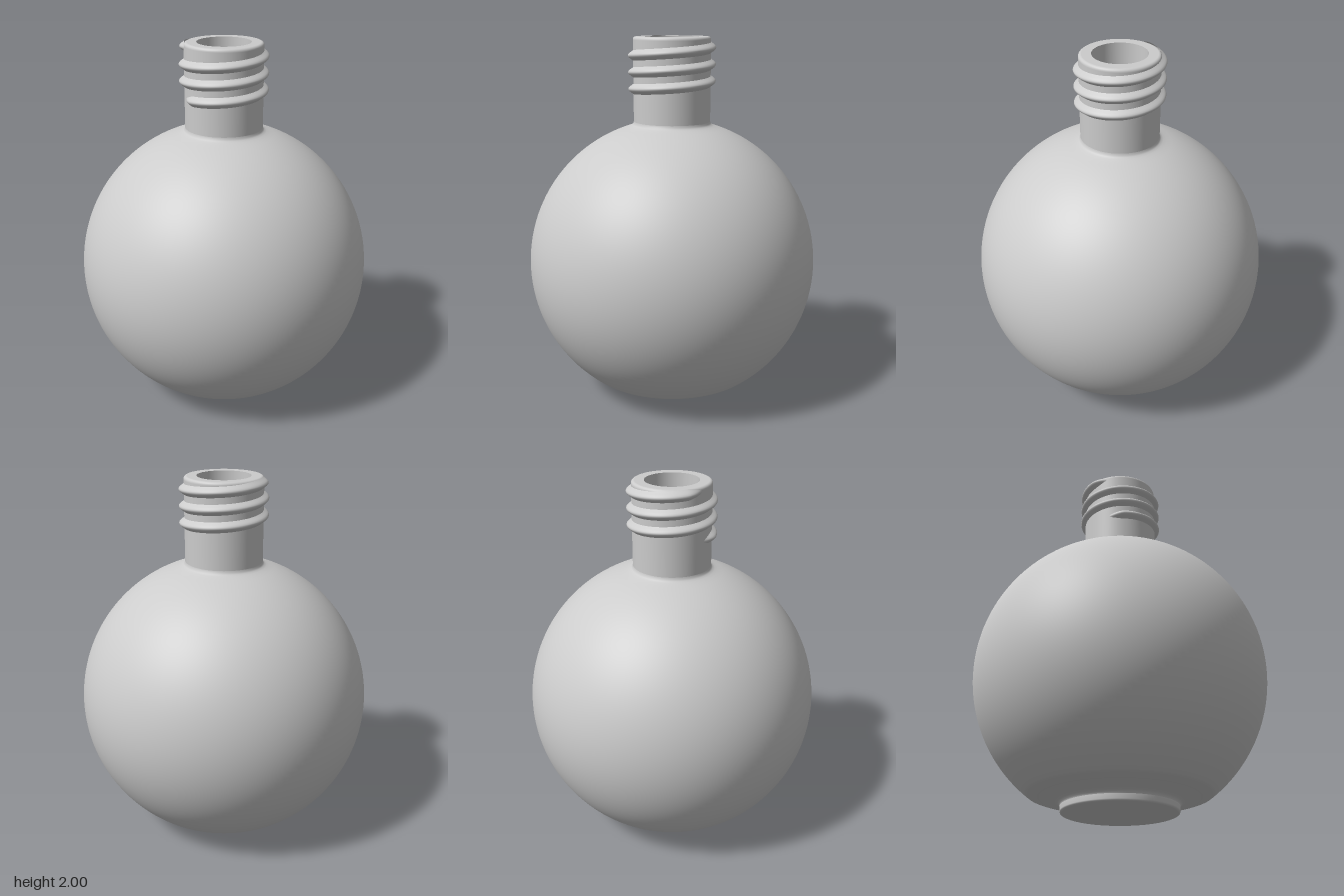
import * as THREE from 'three';

const material = new THREE.MeshStandardMaterial({ color: 0xcccccc, side: THREE.DoubleSide });
const SEGMENTS = 128;
const NECK_R = 0.212;

// Points on a circle of the profile plane, from one polar angle to another
function arc(cx, cy, r, from, to, steps) {
  return Array.from({ length: steps + 1 }, (_, i) => {
    const a = from + (to - from) * i / steps;
    return [cx + r * Math.cos(a), cy + r * Math.sin(a)];
  });
}

// Turned part; separate profiles meet in a sharp edge
function turned(name, profile) {
  const points = profile.map(([x, y]) => new THREE.Vector2(Math.max(x, 0), y));
  const mesh = new THREE.Mesh(new THREE.LatheGeometry(points, SEGMENTS), material);
  mesh.name = name;
  return mesh;
}

// Screw ridge: a rounded section swept up a helix, fading into the neck at both ends
function threadGeometry() {
  const start = -0.5, end = Math.PI * 6 - 0.45, steps = 320, across = 10, fade = 0.5;
  const pitch = 0.09, baseY = 1.715, halfHeight = 0.03, depth = 0.028;
  const positions = [], indices = [];
  for (let i = 0; i <= steps; i++) {
    const t = start + (end - start) * i / steps;
    const grow = THREE.MathUtils.smoothstep(Math.min(t - start, end - t), 0, fade);
    const y = baseY + pitch * t / (Math.PI * 2);
    for (let j = 0; j <= across; j++) {
      const s = j / across * 2 - 1;
      const bump = Math.pow(Math.cos(s * Math.PI / 2), 1.2);
      const r = NECK_R - 0.002 + (depth + 0.002) * grow * bump;
      positions.push(r * Math.sin(t), y + s * halfHeight * (0.4 + 0.6 * grow), r * Math.cos(t));
    }
  }
  const row = across + 1;
  for (let i = 0; i < steps; i++) {
    for (let j = 0; j < across; j++) {
      const a = i * row + j, b = a + row;
      indices.push(a, b, a + 1, b, b + 1, a + 1);
    }
  }
  const geometry = new THREE.BufferGeometry();
  geometry.setAttribute('position', new THREE.Float32BufferAttribute(positions, 3));
  geometry.setIndex(indices);
  geometry.computeVertexNormals();
  return geometry;
}

export function createModel() {
  const bottle = new THREE.Group();
  bottle.name = 'roundBottle';
  const cy = 0.74, R = 0.81;

  // Foot with a softened rim
  bottle.add(turned('footBase', [[0, 0], [0.305, 0]]));
  bottle.add(turned('footRim', [[0.305, 0], [0.312, 0.003], [0.315, 0.01], [0.315, 0.036]]));

  // Hollow curve above the foot, globe and shoulder fillet
  const globe = arc(0, cy, R, Math.asin((0.105 - cy) / R), Math.acos(0.25 / R), 64);
  bottle.add(turned('body', [
    [0.315, 0.036], [0.318, 0.044], [0.327, 0.052], [0.345, 0.06],
    [0.385, 0.071], [0.43, 0.081], [0.47, 0.09], [0.492, 0.097],
    ...globe,
    [0.232, 1.518], [0.22, 1.524], [0.214, 1.532], [NECK_R, 1.542],
  ]));

  // Neck, rounded lip and flat mouth
  bottle.add(turned('neck', [
    [NECK_R, 1.542], [NECK_R, 1.75], [NECK_R, 1.982],
    ...arc(NECK_R - 0.016, 1.984, 0.016, 0, Math.PI / 2, 6),
  ]));
  bottle.add(turned('mouth', [[NECK_R - 0.016, 2], [0.145, 2]]));

  // Bore and hollow inside, running down from the mouth
  bottle.add(turned('bore', [[0.145, 2], [0.145, 1.475]]));
  bottle.add(turned('innerWall',
    arc(0, cy, 0.75, Math.acos(0.145 / 0.75), Math.asin((0.13 - cy) / 0.75), 48)));
  bottle.add(turned('innerFloor', [[Math.sqrt(0.75 ** 2 - 0.61 ** 2), 0.13], [0, 0.13]]));

  const thread = new THREE.Mesh(threadGeometry(), material);
  thread.name = 'screwThread';
  bottle.add(thread);
  return bottle;
}
